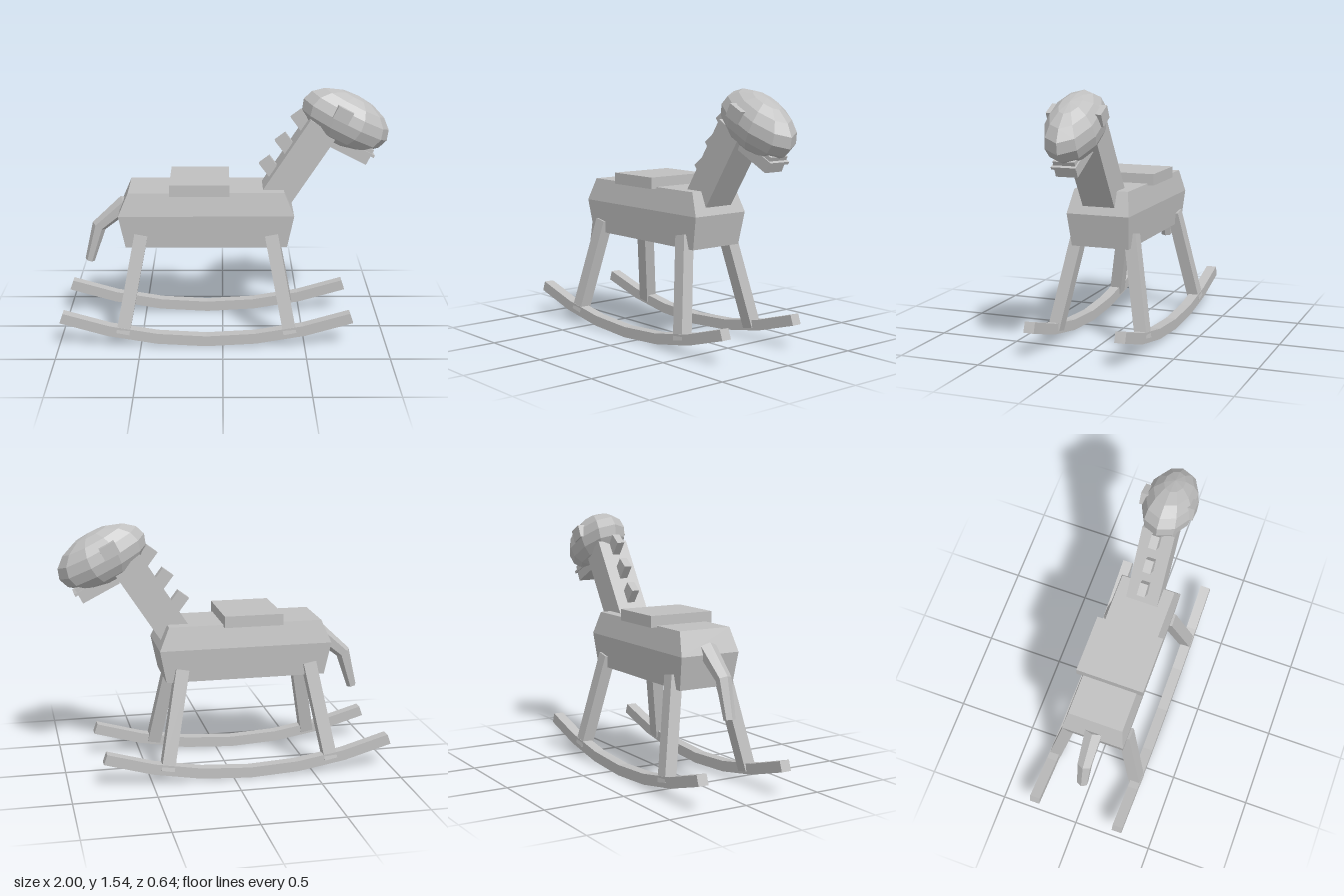
import * as THREE from 'three';

const grey = new THREE.MeshStandardMaterial({ color: 0xc0c0c0 });
grey.name = 'plain grey';

// Join rings of points (counter-clockwise seen from the last ring) into a closed faceted solid
function loft(rings) {
  const pos = [];
  const tri = (a, b, c) => pos.push(...a, ...b, ...c);
  const n = rings[0].length;
  for (let i = 0; i < rings.length - 1; i++) {
    for (let j = 0; j < n; j++) {
      const k = (j + 1) % n, lo = rings[i], hi = rings[i + 1];
      tri(lo[j], lo[k], hi[k]);
      tri(lo[j], hi[k], hi[j]);
    }
  }
  const first = rings[0], last = rings[rings.length - 1];
  for (let j = 1; j < n - 1; j++) {
    tri(first[0], first[j + 1], first[j]);
    tri(last[0], last[j], last[j + 1]);
  }
  const geo = new THREE.BufferGeometry();
  geo.setAttribute('position', new THREE.Float32BufferAttribute(pos, 3));
  geo.computeVertexNormals();
  return geo;
}

export function createModel() {
  const model = new THREE.Group();
  model.name = 'rockingHorse';
  const add = (name, geo, x = 0, y = 0, z = 0, tilt = 0) => {
    const mesh = new THREE.Mesh(geo, grey);
    mesh.name = name;
    mesh.position.set(x, y, z);
    mesh.rotation.z = tilt;
    model.add(mesh);
    return mesh;
  };
  const box = (name, w, h, d, x, y, z, tilt) =>
    add(name, new THREE.BoxGeometry(w, h, d), x, y, z, tilt);

  const middle = -0.1; // centre of body and rockers along x

  // Body: widest at the middle height
  add('body', loft([[0.6, 0.49, 0.18], [0.8, 0.53, 0.195], [0.94, 0.47, 0.17]].map(([y, w, d]) => [
    [middle + w, y, d], [middle + w, y, -d], [middle - w, y, -d], [middle - w, y, d],
  ])));
  box('seat', 0.36, 0.07, 0.42, -0.14, 0.965, 0, 0);

  // Neck, leaning forward
  const lean = THREE.MathUtils.degToRad(57);
  box('neck', 0.62, 0.19, 0.2, 0.435, 1.06, 0, lean);

  // Mane tufts along the back of the neck
  for (let i = 0; i < 3; i++) {
    box('maneTuft', 0.08, 0.12, 0.05, 0.29 + i * 0.094, 1.056 + i * 0.144, 0, Math.atan2(0.6, 0.8));
  }

  // Head, jaw and lip share one downward tilt
  const nod = THREE.MathUtils.degToRad(-27);
  const headGeo = new THREE.SphereGeometry(1, 10, 8).scale(0.285, 0.163, 0.16).toNonIndexed();
  headGeo.computeVertexNormals();
  add('head', headGeo, 0.74, 1.352, 0, nod);
  box('jaw', 0.25, 0.1, 0.13, 0.776, 1.188, 0, nod);
  box('lip', 0.14, 0.016, 0.146, 0.85, 1.17, 0, nod);
  for (const side of [-1, 1]) box('eye', 0.1, 0.08, 0.05, 0.71, 1.412, side * 0.14, nod);

  // Splayed legs
  const up = new THREE.Vector3(0, 1, 0);
  for (const sx of [-1, 1]) {
    for (const sz of [-1, 1]) {
      const top = new THREE.Vector3(middle + sx * 0.395, 0.675, sz * 0.165);
      const foot = new THREE.Vector3(middle + sx * 0.51, 0.08, sz * 0.28);
      const dir = top.clone().sub(foot);
      const c = top.clone().add(foot).multiplyScalar(0.5);
      const leg = box(sx > 0 ? 'frontLeg' : 'rearLeg', 0.08, dir.length(), 0.075, c.x, c.y, c.z, 0);
      leg.quaternion.setFromUnitVectors(up, dir.normalize());
    }
  }

  // Curved rockers in six straight segments
  const R = 2.67, half = 0.337, thick = 0.065, pts = [];
  const arcPoint = (r, a) => new THREE.Vector2(r * Math.sin(a), R + thick / 2 - r * Math.cos(a));
  for (let i = 0; i <= 6; i++) pts.push(arcPoint(R + thick / 2, half * (i / 3 - 1)));
  for (let i = 6; i >= 0; i--) pts.push(arcPoint(R - thick / 2, half * (i / 3 - 1)));
  const rockerGeo = new THREE.ExtrudeGeometry(new THREE.Shape(pts), { depth: 0.065, bevelEnabled: false });
  rockerGeo.translate(0, 0.005, -0.0325);
  for (const side of [-1, 1]) add('rocker', rockerGeo, middle, 0, side * 0.28);

  // Tail: tapered six-sided tube with one bend; each row is x, y, direction, radius, half width
  const tail = [[-0.59, 0.83, -0.75, -0.67, 0.055, 0.06],
    [-0.765, 0.68, -0.53, -0.85, 0.045, 0.047],
    [-0.828, 0.457, -0.27, -0.96, 0.03, 0.036]];
  add('tail', loft(tail.map(([x, y, tx, ty, r, w]) => {
    const ring = [];
    for (let j = 0; j < 6; j++) {
      const a = j * Math.PI / 3, c = Math.cos(a) * r;
      ring.push([x + ty * c, y - tx * c, -Math.sin(a) * w]);
    }
    return ring;
  })));

  return model;
}
